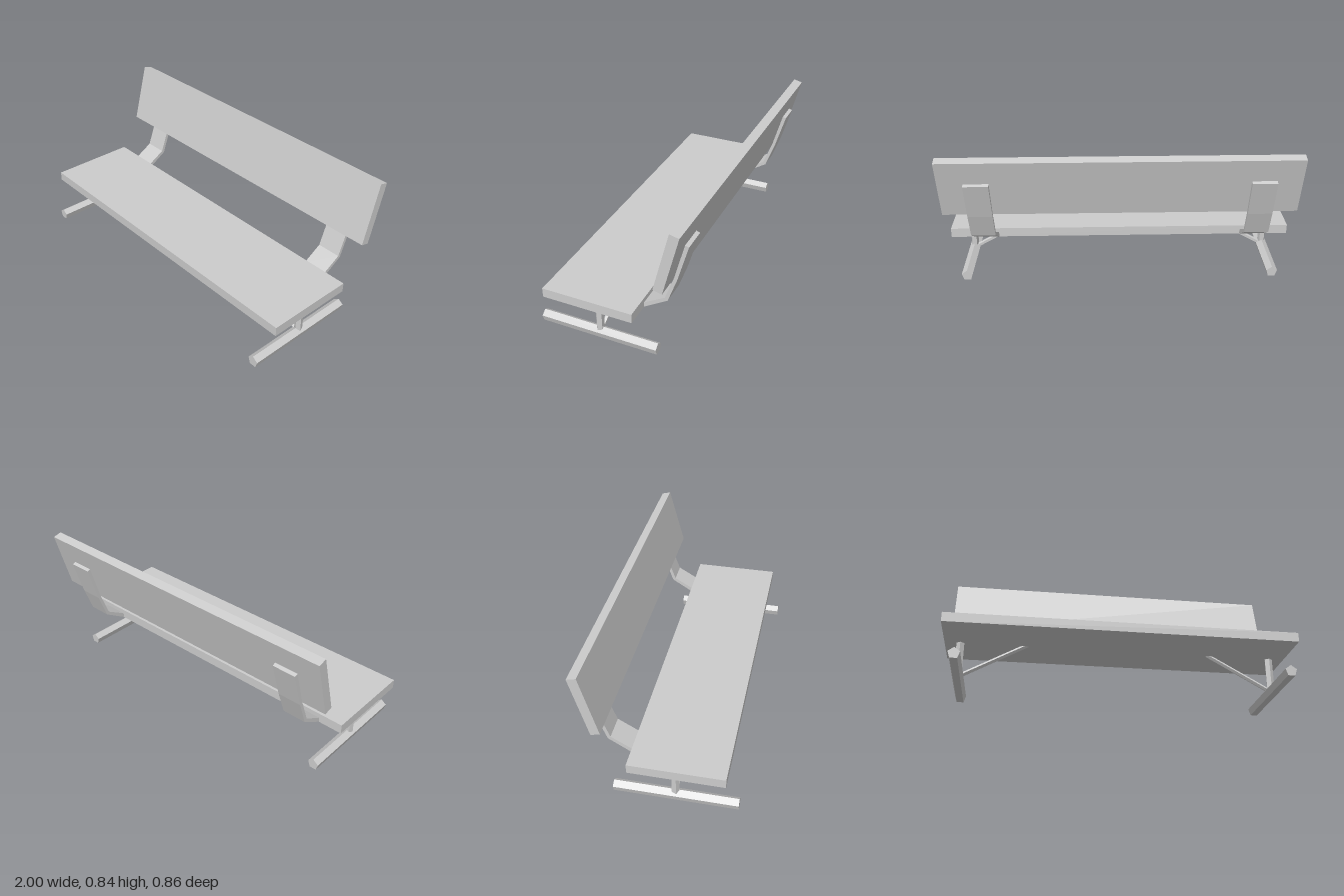
import * as THREE from 'three';

export function createModel() {
  const model = new THREE.Group();
  model.name = 'bench';
  const grey = new THREE.MeshStandardMaterial({ color: 0xcccccc, flatShading: true });
  grey.name = 'grey';

  const add = (name, geometry, parent = model) => {
    const mesh = new THREE.Mesh(geometry, grey);
    mesh.name = name;
    parent.add(mesh);
    return mesh;
  };

  // Extrudes a [z, y] side profile along x, centred on cx
  const sideProfile = (points, width, cx = 0) => {
    const shape = new THREE.Shape(points.map(([z, y]) => new THREE.Vector2(-z, y)));
    const geometry = new THREE.ExtrudeGeometry(shape, { depth: width, bevelEnabled: false });
    return geometry.translate(0, 0, cx - width / 2).applyMatrix4(
      new THREE.Matrix4().makeRotationY(Math.PI / 2));
  };

  // Five-sided bar between two points
  const bar = (name, parent, radius, from, to) => {
    const a = new THREE.Vector3(...from), b = new THREE.Vector3(...to);
    const dir = b.clone().sub(a);
    const mesh = add(name, new THREE.CylinderGeometry(radius, radius, dir.length(), 5), parent);
    mesh.position.copy(a).add(b).multiplyScalar(0.5);
    mesh.quaternion.setFromUnitVectors(new THREE.Vector3(0, 1, 0), dir.normalize());
    return mesh;
  };

  // Seat slab
  add('seat', new THREE.BoxGeometry(2, 0.055, 0.528)).position.set(0, 0.2625, 0.102);

  // Leaning backrest board
  add('backrest', sideProfile(
    [[-0.284, 0.489], [-0.376, 0.839], [-0.428, 0.826], [-0.335, 0.475]], 2));

  // Bent strap from the seat's rear edge up the back of the backrest
  const strap = [
    [-0.162, 0.235], [-0.298, 0.319], [-0.352, 0.467], [-0.415, 0.683],
    [-0.394, 0.69], [-0.335, 0.476], [-0.282, 0.333], [-0.162, 0.263],
  ];

  for (const [side, s] of [['left', 1], ['right', -1]]) {
    add(side + 'BackSupport', sideProfile(strap, 0.14, s * 0.787));

    // Foot rail, post and diagonal brace
    const leg = new THREE.Group();
    leg.name = side + 'Leg';
    model.add(leg);
    const foot = new THREE.CylinderGeometry(0.034, 0.034, 0.694, 5).rotateX(-Math.PI / 2);
    add('footRail', foot, leg).position.set(s * 0.91, 0.0275, 0.082);
    bar('post', leg, 0.0232, [s * 0.91, 0.03, 0.079], [s * 0.91, 0.237, 0.079]);
    bar('brace', leg, 0.013, [s * 0.91, 0.03, 0.079], [s * 0.53, 0.243, 0.079]);
  }
  return model;
}
